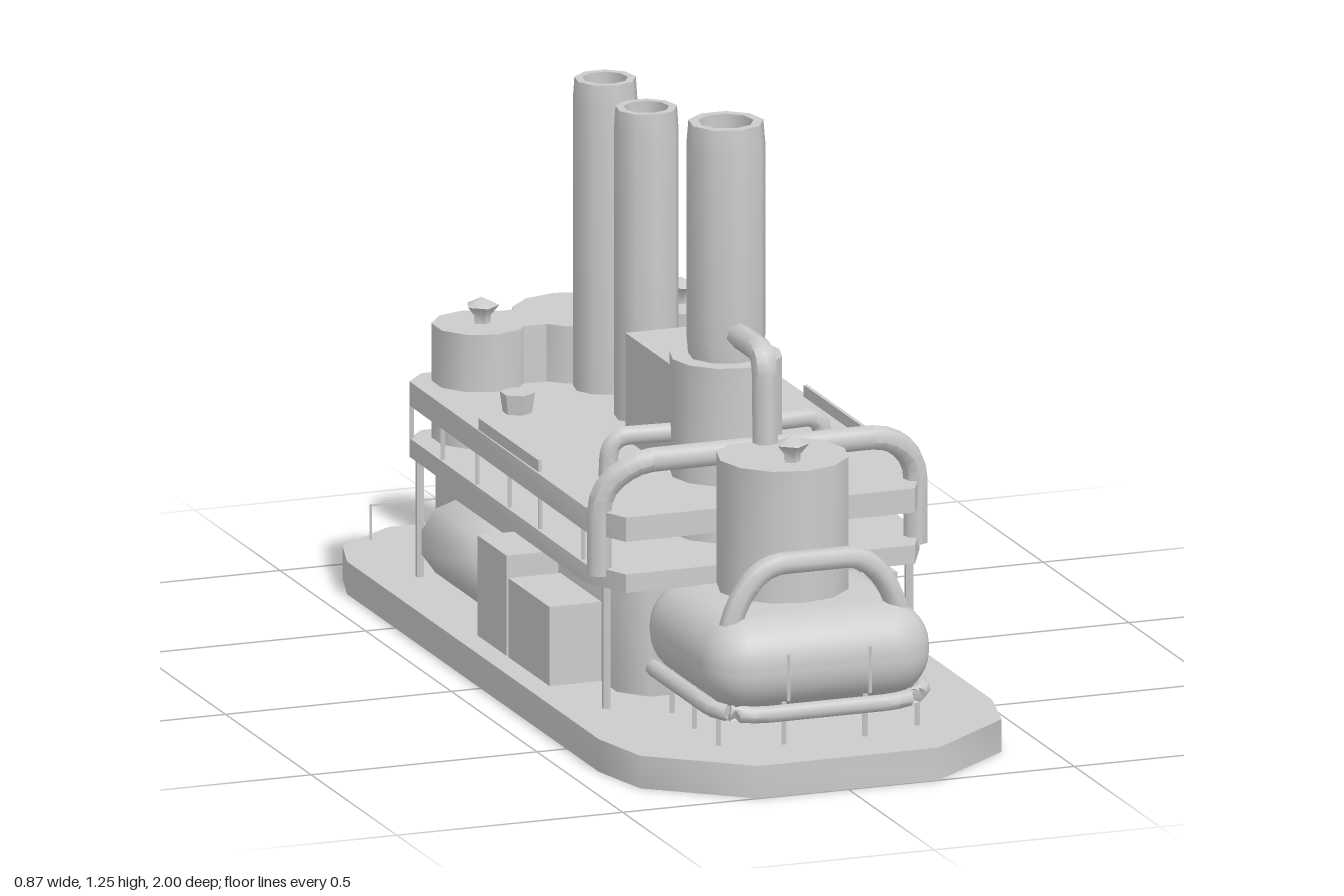
import * as THREE from 'three';
import { toCreasedNormals } from 'three/addons/utils/BufferGeometryUtils.js';
import { RoundedBoxGeometry } from 'three/addons/geometries/RoundedBoxGeometry.js';

const grey = new THREE.MeshStandardMaterial({ color: 0xcccccc, side: THREE.DoubleSide });

export function createModel() {
  const model = new THREE.Group();

  const add = (name, geometry, x = 0, y = 0, z = 0) => {
    const mesh = new THREE.Mesh(toCreasedNormals(geometry, 0.9), grey);
    mesh.name = name;
    mesh.position.set(x, y, z);
    model.add(mesh);
    return mesh;
  };
  // Box given by its limits on each axis
  const box = (name, x0, x1, y0, y1, z0, z1) =>
    add(name, new THREE.BoxGeometry(x1 - x0, y1 - y0, z1 - z0), (x0 + x1) / 2, (y0 + y1) / 2, (z0 + z1) / 2);
  // Upright cylinder from y0 to y1
  const drum = (name, r, y0, y1, x, z, sides = 10, rTop = r) =>
    add(name, new THREE.CylinderGeometry(rTop, r, y1 - y0, sides), x, (y0 + y1) / 2, z);
  // Horizontal slab from one half of its outline, listed back to front as [x, z]
  const slab = (name, half, y0, y1) => {
    const pts = [...half, ...half.slice().reverse().map(([x, z]) => [-x, z])];
    const shape = new THREE.Shape(pts.map(([x, z]) => new THREE.Vector2(x, -z)));
    const g = new THREE.ExtrudeGeometry(shape, { depth: y1 - y0, bevelEnabled: false });
    g.rotateX(-Math.PI / 2);
    return add(name, g, 0, y0, 0);
  };
  // Bent pipe through straight runs with softened corners, closed at both ends
  const pipe = (name, points, r, sides = 7) => {
    const v = points.map(p => new THREE.Vector3(...p));
    const path = new THREE.CurvePath();
    let from = v[0];
    for (let i = 1; i < v.length - 1; i++) {
      const cut = 0.045;
      const a = v[i].clone().add(v[i - 1].clone().sub(v[i]).setLength(cut));
      const b = v[i].clone().add(v[i + 1].clone().sub(v[i]).setLength(cut));
      path.add(new THREE.LineCurve3(from, a));
      path.add(new THREE.QuadraticBezierCurve3(a, v[i], b));
      from = b;
    }
    path.add(new THREE.LineCurve3(from, v[v.length - 1]));
    add(name, new THREE.TubeGeometry(path, 40, r, sides, false));
  };
  // Open-topped funnel with a wall
  const funnel = (name, r, y0, y1, z) => {
    const profile = [[r * 0.95, y0], [r, y0 + 0.05], [r, y1 - 0.05], [r * 0.95, y1],
      [r * 0.7, y1], [r * 0.7, y1 - 0.12], [0, y1 - 0.12]].map(p => new THREE.Vector2(...p));
    add(name, new THREE.LatheGeometry(profile, 9), 0, 0, z);
  };
  // Knob that widens upward to a low point
  const knob = (name, x, y, z) => {
    const profile = [[0.018, 0], [0.018, 0.015], [0.036, 0.037], [0, 0.055]].map(p => new THREE.Vector2(...p));
    add(name, new THREE.LatheGeometry(profile, 5), x, y, z);
  };

  // Base, hull block and the two decks
  slab('base', [[0.26, -1], [0.4, -0.9], [0.435, -0.78], [0.435, 0.69], [0.4, 0.84], [0.2, 1]], 0, 0.07);
  slab('lowerBody', [[0.2, -0.64], [0.27, -0.6], [0.27, 0.36], [0.22, 0.42]], 0.07, 0.335);
  const deck = [[0.32, -0.65], [0.365, -0.6], [0.37, 0.44], [0.32, 0.545]];
  slab('lowerDeck', deck, 0.335, 0.375);
  slab('upperDeck', deck, 0.445, 0.497);

  // Deckhouse and funnels
  box('deckhouse', -0.105, 0.105, 0.375, 0.725, -0.025, 0.24);
  drum('frontFunnelCollar', 0.118, 0.375, 0.75, 0, 0.285, 12);
  funnel('frontFunnel', 0.083, 0.74, 1.25, 0.285);
  for (const z of [-0.18, -0.42]) funnel('rearFunnel', 0.068, 0.375, 1.16, z);

  // Triple tank at the rear
  drum('rearCentreTank', 0.135, 0.32, 0.62, 0, -0.585, 12);
  box('tankBridge', -0.2, 0.2, 0.33, 0.62, -0.63, -0.5);
  for (const s of [1, -1]) {
    drum('rearSideTank', 0.1, 0.33, 0.62, s * 0.225, -0.56, 10);
    knob('tankKnob', s * 0.22, 0.62, -0.56);
    drum('deckVent', 0.03, 0.49, 0.54, s * 0.24, -0.3, 6, 0.037);
  }

  // Boiler and dome at the front
  add('boiler', new RoundedBoxGeometry(0.5, 0.2, 0.47, 4, 0.095), 0, 0.237, 0.655);
  drum('dome', 0.138, 0.31, 0.62, 0, 0.615, 12);
  knob('domeKnob', 0, 0.62, 0.67);
  pipe('boilerHandle', [[-0.19, 0.3, 0.8], [-0.17, 0.37, 0.8], [-0.11, 0.44, 0.8],
    [0.11, 0.44, 0.8], [0.17, 0.37, 0.8], [0.19, 0.3, 0.8]], 0.024);
  pipe('boilerBand', [[-0.235, 0.15, 0.48], [-0.235, 0.15, 0.84], [-0.17, 0.14, 0.87],
    [0.17, 0.14, 0.87], [0.235, 0.15, 0.84], [0.235, 0.15, 0.48]], 0.018);
  for (const s of [1, -1]) {
    for (const z of [0.55, 0.68, 0.82]) drum('boilerLeg', 0.006, 0.07, 0.16, s * 0.22, z, 5);
    drum('boilerFrontLeg', 0.006, 0.07, 0.16, s * 0.09, 0.86, 5);
    drum('boilerRod', 0.004, 0.17, 0.27, s * 0.09, 0.888, 5);
  }

  // Pipes above the upper deck
  pipe('steamPipe', [[0, 0.81, 0.33], [0, 0.81, 0.51], [0, 0.47, 0.52]], 0.027);
  pipe('frontArch', [[-0.35, 0.36, 0.47], [-0.35, 0.54, 0.47], [-0.28, 0.6, 0.49],
    [0.28, 0.6, 0.49], [0.35, 0.54, 0.47], [0.35, 0.36, 0.47]], 0.026);
  for (const s of [1, -1])
    pipe('crossPipe', [[s * 0.06, 0.58, 0.24], [s * 0.235, 0.58, 0.225], [s * 0.24, 0.48, 0.225]], 0.02);

  // Side lockers, tanks and deck posts
  for (const s of [1, -1]) {
    const side = (name, h, z0, z1) => box(name, s > 0 ? 0.22 : -0.385, s > 0 ? 0.385 : -0.22, 0.07, h, z0, z1);
    side('lowLocker', 0.24, 0.03, 0.27);
    side('tallLocker', 0.285, -0.15, 0.02);
    const tank = [[0, -0.64], [0.05, -0.63], [0.085, -0.58], [0.085, -0.3], [0.06, -0.25], [0.022, -0.22],
      [0.022, -0.15]].map(([r, z]) => new THREE.Vector2(r, z));
    const lathe = new THREE.LatheGeometry(tank, 10);
    lathe.rotateX(Math.PI / 2);
    add('sideTank', lathe, s * 0.265, 0.155, 0);
    for (const z of [0.47, -0.62]) drum('lowerPost', 0.009, 0.07, 0.34, s * 0.335, z, 6);
    for (const z of [0.4, 0.15, -0.03, -0.22, -0.42, -0.6]) drum('upperPost', 0.005, 0.37, 0.45, s * 0.36, z, 5);
    box('handrail', s * 0.36 - 0.004, s * 0.36 + 0.004, 0.497, 0.522, -0.2, 0.15);
  }

  // Rear box with its cross tank
  box('rearBox', -0.235, 0.235, 0.07, 0.315, -0.79, -0.6);
  const capsule = new THREE.CapsuleGeometry(0.098, 0.24, 3, 10);
  capsule.rotateZ(Math.PI / 2);
  add('rearCrossTank', capsule, 0, 0.205, -0.797);

  // Thin rail around the stern
  for (const s of [1, -1]) drum('sternPost', 0.003, 0.07, 0.145, s * 0.33, -0.92, 5);
  box('sternRail', -0.33, 0.33, 0.142, 0.146, -0.922, -0.918);

  return model;
}
